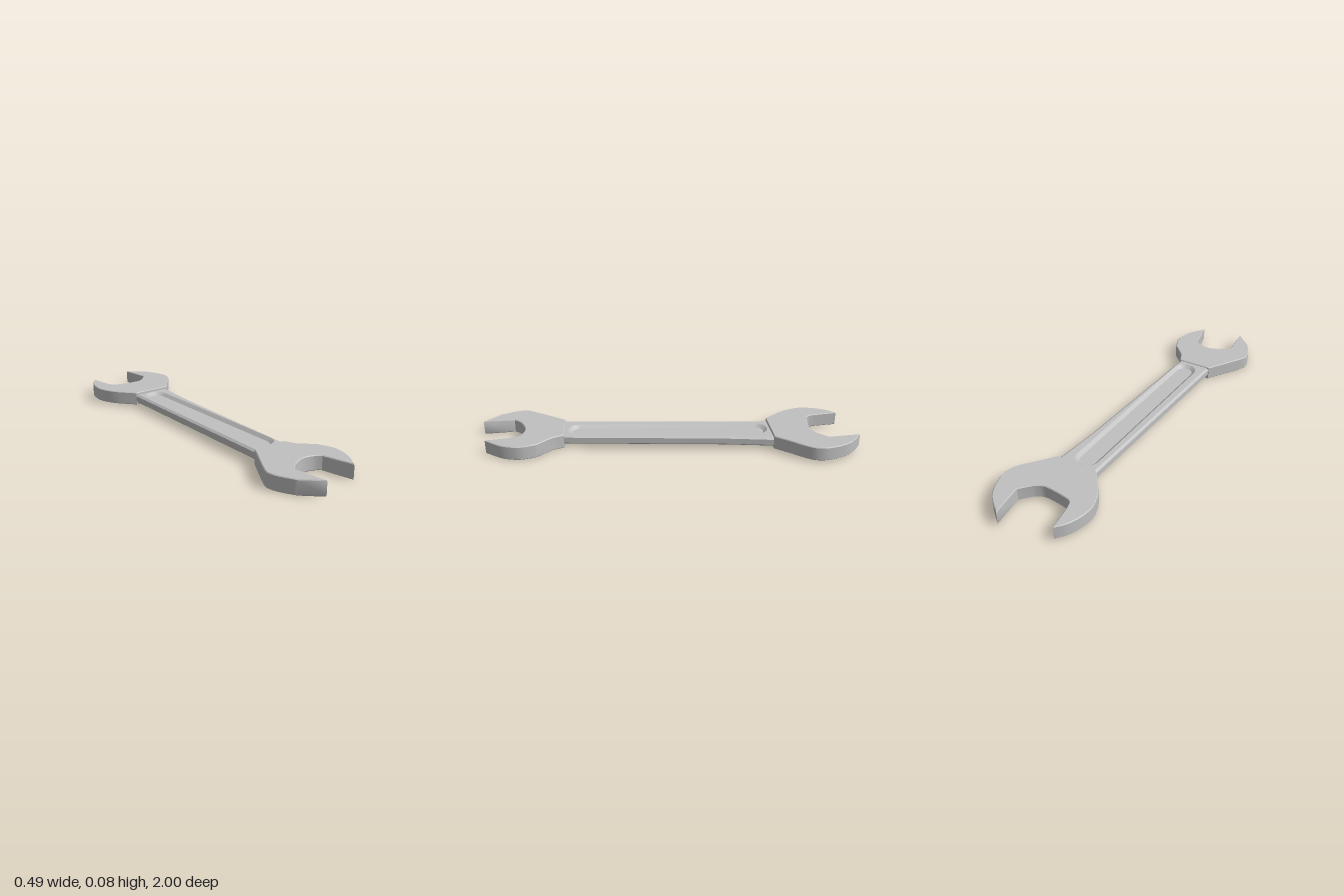
import * as THREE from 'three';
import { mergeGeometries, toCreasedNormals } from 'three/addons/utils/BufferGeometryUtils.js';

const steel = new THREE.MeshStandardMaterial({ color: 0xc0c0c0 });
steel.name = 'steel grey';

// Outlines are [x, z] points seen from above; shapes use y = -z
const vec = ([x, z]) => new THREE.Vector2(x, -z);

// A jaw outline: each run is a smooth curve, and runs meet at sharp corners
function jaw(name, runs, y0, y1) {
  const shape = new THREE.Shape();
  shape.moveTo(...vec(runs[0][0]).toArray());
  runs.forEach((run, i) => {
    const pts = run.slice(1);
    pts.push(runs[(i + 1) % runs.length][0]);
    if (pts.length === 1) shape.lineTo(...vec(pts[0]).toArray());
    else shape.splineThru(pts.map(vec));
  });
  const b = 0.004;
  const geo = new THREE.ExtrudeGeometry(shape, {
    depth: y1 - y0 - 2 * b, bevelThickness: b, bevelSize: b, bevelOffset: -b,
    bevelSegments: 1, curveSegments: 3,
  });
  geo.rotateX(-Math.PI / 2).translate(0, y0 + b, 0);
  const mesh = new THREE.Mesh(toCreasedNormals(geo, 0.5), steel);
  mesh.name = name;
  return mesh;
}

// Band between two rings of [x, z] points at two heights
function band(a, ya, b, yb) {
  const p = [];
  a.forEach((_, i) => {
    const j = (i + 1) % a.length;
    const A = [a[i][0], ya, a[i][1]], B = [a[j][0], ya, a[j][1]];
    const C = [b[j][0], yb, b[j][1]], D = [b[i][0], yb, b[i][1]];
    p.push(...A, ...B, ...C, ...A, ...C, ...D);
  });
  const geo = new THREE.BufferGeometry();
  geo.setAttribute('position', new THREE.Float32BufferAttribute(p, 3));
  geo.computeVertexNormals();
  return geo;
}

// Flat cap facing up or down, with an optional hole
function cap(ring, y, up, hole) {
  const conv = ([x, z]) => new THREE.Vector2(x, up ? -z : z);
  const shape = new THREE.Shape(ring.map(conv));
  if (hole) shape.holes.push(new THREE.Path(hole.map(conv)));
  const geo = new THREE.ShapeGeometry(shape).toNonIndexed();
  geo.deleteAttribute('uv');
  return geo.rotateX(up ? -Math.PI / 2 : Math.PI / 2).translate(0, y, 0);
}

// Long slot with round ends
function slot(halfWidth, endZ) {
  const ring = [], n = 12, cx = -0.01;
  for (const side of [-1, 1]) {
    for (let i = 0; i <= n; i++) {
      const t = (i / n) * Math.PI;
      ring.push([cx - side * halfWidth * Math.cos(t),
        side * (endZ - halfWidth + halfWidth * Math.sin(t))]);
    }
  }
  return ring;
}

// Shank with chamfered long edges and a sunken slot in its top
function handle() {
  const outline = (d) => [
    [0.113 - d, -0.57], [0.106 - d, -0.5], [0.09 - d, -0.29], [0.066 - d, 0.5], [0.062 - d, 0.57],
    [-0.121 + d, 0.57], [-0.106 + d, -0.5], [-0.108 + d, -0.57],
  ].reverse();
  const wide = outline(0), narrow = outline(0.012);
  const rim = slot(0.062, 0.53), floor = slot(0.044, 0.51);
  // Both rings run anticlockwise seen from above
  const ccw = (r) => (THREE.ShapeUtils.isClockWise(r.map(vec)) ? [...r].reverse() : r);
  const [w, n, r, f] = [wide, narrow, rim, floor].map(ccw);
  const geo = mergeGeometries([
    cap(n, 0.02, false),
    band(n, 0.02, w, 0.03),
    band(w, 0.03, w, 0.06),
    band(w, 0.06, n, 0.069),
    cap(n, 0.069, true, r),
    band(r, 0.069, f, 0.053),
    cap(f, 0.053, true),
  ]);
  const mesh = new THREE.Mesh(toCreasedNormals(geo, 0.5), steel);
  mesh.name = 'handle';
  return mesh;
}

export function createModel() {
  const group = new THREE.Group();
  group.name = 'openEndWrench';

  // Larger jaw at the back
  group.add(jaw('largeJaw', [
    [[-0.17, -0.935], [-0.205, -0.89], [-0.23, -0.83], [-0.24, -0.765], [-0.233, -0.715], [-0.195, -0.635]],
    [[-0.107, -0.535]],
    [[0.112, -0.55]],
    [[0.165, -0.625], [0.228, -0.71], [0.246, -0.77], [0.236, -0.83], [0.2, -0.91], [0.16, -0.953]],
    [[0.095, -1.0]],
    [[0.12, -0.835]],
    [[0.072, -0.778], [0.037, -0.757], [0, -0.752], [-0.06, -0.755]],
    [[-0.115, -0.762], [-0.133, -0.774]],
    [[-0.145, -0.805]],
  ], 0.01, 0.083));

  // Smaller jaw at the front
  group.add(jaw('smallJaw', [
    [[-0.104, 0.998]],
    [[-0.195, 0.92], [-0.233, 0.85], [-0.247, 0.8], [-0.235, 0.75]],
    [[-0.122, 0.555]],
    [[0.063, 0.545]],
    [[0.09, 0.603]],
    [[0.164, 0.672], [0.19, 0.735], [0.193, 0.79], [0.172, 0.862]],
    [[0.117, 0.945]],
    [[0.08, 0.788], [0.048, 0.767], [0, 0.758], [-0.042, 0.767], [-0.1, 0.8]],
    [[-0.127, 0.835]],
  ], 0, 0.075));

  group.add(handle());
  return group;
}
